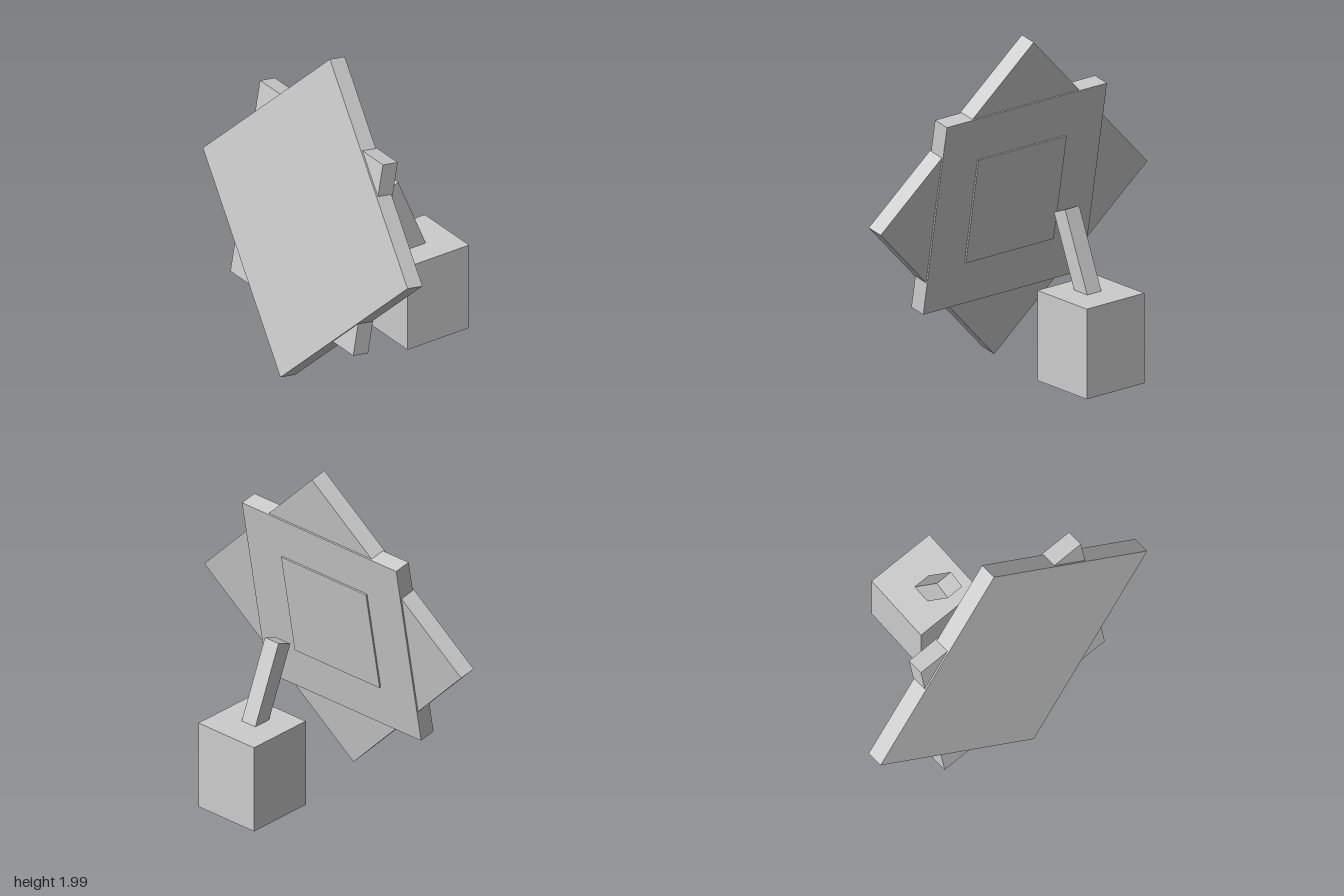
import * as THREE from 'three';

const material = new THREE.MeshStandardMaterial({ color: 0xcccccc, flatShading: true });

function box(name, w, h, d, x, y, z) {
  const mesh = new THREE.Mesh(new THREE.BoxGeometry(w, h, d), material);
  mesh.name = name;
  mesh.position.set(x, y, z);
  return mesh;
}

export function createModel() {
  const model = new THREE.Group();
  model.name = 'panelAndStand';

  // Leaning stack of square plates, each set slightly further back
  const panel = new THREE.Group();
  panel.name = 'leaningPanel';
  panel.position.set(0, 0.994, 0.359);
  panel.rotation.x = -Math.PI / 18;
  const thick = 0.106;
  const diamond = box('diamondPlate', Math.SQRT2, Math.SQRT2, thick, 0, 0, 0);
  diamond.rotation.z = Math.PI / 4;
  panel.add(
    diamond,
    box('squarePlate', 1.2, 1.2, thick, 0, 0, -0.01),
    box('backPlate', 0.66, 0.66, thick, 0, 0, -0.02)
  );
  model.add(panel);

  // Block behind the panel
  model.add(box('baseBlock', 0.433, 0.543, 0.433, 0, 0.326, -0.3675));

  // Slanted arm, sunk into the block and pointing at the panel
  const arm = new THREE.Group();
  arm.name = 'slantedArm';
  arm.position.set(0, 1.041, -0.154);
  arm.rotation.x = THREE.MathUtils.degToRad(22.7);
  const length = 0.65;
  arm.add(box('armBar', 0.106, length, 0.106, 0, -length / 2, 0));
  model.add(arm);

  return model;
}
